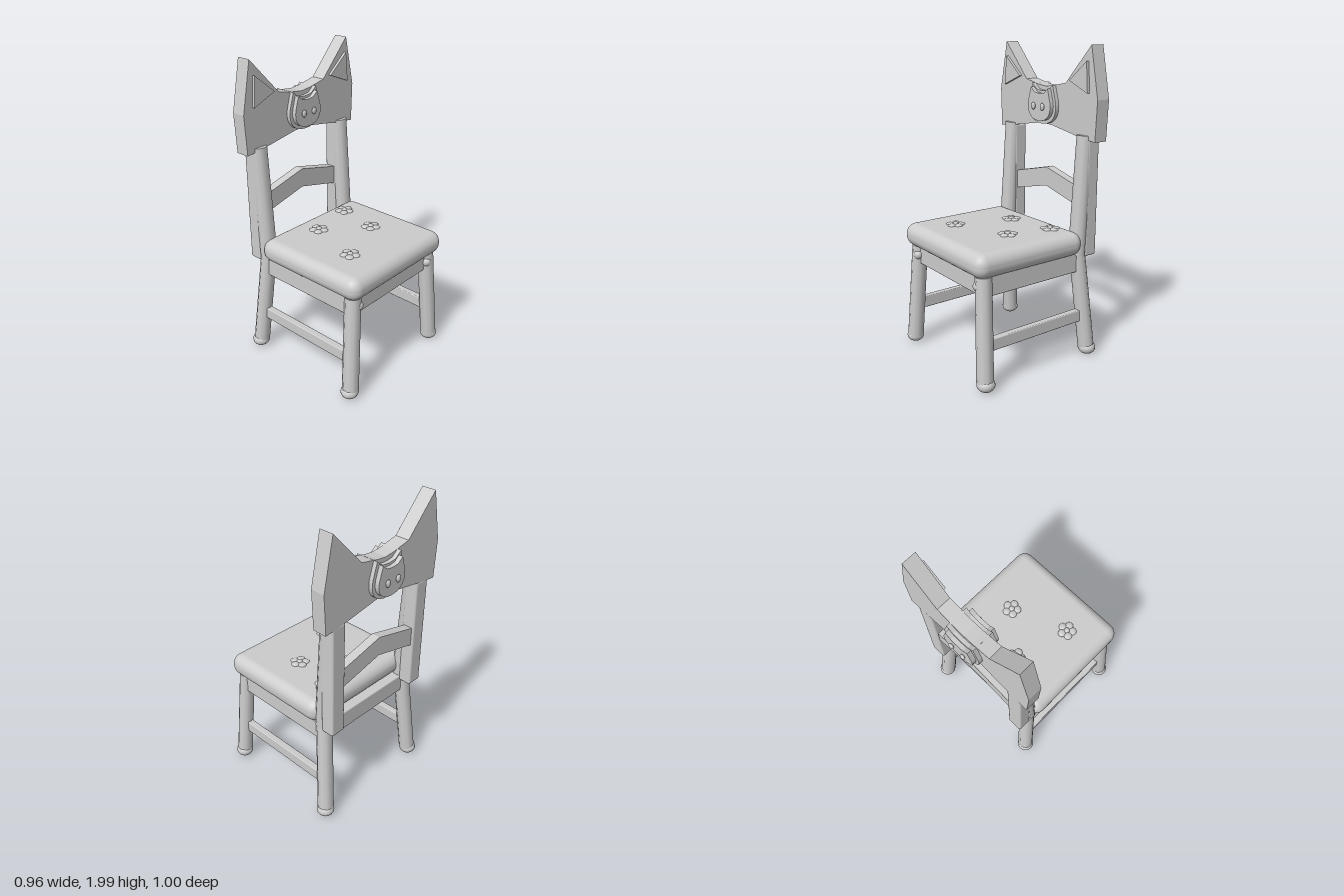
import * as THREE from 'three';
import { RoundedBoxGeometry } from 'three/addons/geometries/RoundedBoxGeometry.js';

const grey = new THREE.MeshStandardMaterial({ color: 0xcccccc });
grey.name = 'light grey';

export function createModel() {
  const model = new THREE.Group();
  model.name = 'chair';

  const add = (name, geometry, x = 0, y = 0, z = 0, parent = model) => {
    const mesh = new THREE.Mesh(geometry, grey);
    mesh.name = name;
    mesh.position.set(x, y, z);
    parent.add(mesh);
    return mesh;
  };
  // Round bar between two points
  const bar = (name, a, b, rBottom, rTop) => {
    const from = new THREE.Vector3(...a), to = new THREE.Vector3(...b);
    const dir = to.clone().sub(from);
    const mesh = add(name, new THREE.CylinderGeometry(rTop, rBottom, dir.length(), 10));
    mesh.position.copy(from).addScaledVector(dir, 0.5);
    mesh.quaternion.setFromUnitVectors(new THREE.Vector3(0, 1, 0), dir.normalize());
  };
  // Flat plate cut from a shape, between two depths
  const plate = (name, shape, zBack, zFront) => add(name, new THREE.ExtrudeGeometry(shape,
    { depth: zFront - zBack, bevelEnabled: false, curveSegments: 10 }), 0, 0, zBack);
  const polygon = (points) => new THREE.Shape(points.map(([x, y]) => new THREE.Vector2(x, y)));
  const mirrored = (half) => polygon([...half, ...half.filter(([x]) => x > 0).reverse().map(([x, y]) => [-x, y])]);
  const ball = (name, r, sx, sy, sz, x, y, z, parent) =>
    add(name, new THREE.SphereGeometry(r, 16, 12), x, y, z, parent).scale.set(sx, sy, sz);

  // Seat cushion and frame
  add('cushion', new RoundedBoxGeometry(0.884, 0.152, 0.805, 5, 0.07), 0, 0.782, 0.0975);
  add('seatFrame', new RoundedBoxGeometry(0.8, 0.125, 0.78, 2, 0.008), 0, 0.6525, 0.05);

  for (const s of [1, -1]) {
    // Splayed legs with ball feet
    bar('frontLeg', [s * 0.415, 0.05, 0.447], [s * 0.365, 0.71, 0.418], 0.053, 0.051);
    bar('backLeg', [s * 0.415, 0.05, -0.367], [s * 0.365, 0.72, -0.308], 0.053, 0.051);
    ball('frontFoot', 0.057, 1, 0.78, 1, s * 0.42, 0.05, 0.445);
    ball('backFoot', 0.057, 1, 0.78, 1, s * 0.42, 0.05, -0.37);
    add('sideStretcher', new RoundedBoxGeometry(0.045, 0.077, 0.7, 2, 0.006), s * 0.395, 0.288, 0.04);
    ball('frameKnob', 0.032, 1, 1, 1, s * 0.345, 0.65, 0.443);
    // Back posts: round in front, square behind
    bar('roundPost', [s * 0.365, 0.7, -0.306], [s * 0.363, 1.457, -0.35], 0.056, 0.052);
    add('squarePost', new RoundedBoxGeometry(0.105, 0.76, 0.092, 2, 0.014), s * 0.363, 1.065, -0.379);
    // Inner ear
    const ear = [[0.395, 1.905], [0.41, 1.715], [0.245, 1.782]];
    plate('innerEar', polygon(ear.map(([x, y]) => [s * x, y])), -0.34, -0.313);
  }

  // Bent back slat
  plate('backSlat', mirrored([[0, 1.197], [0.315, 1.12], [0.315, 0.995], [0, 1.07]]), -0.41, -0.35);

  // Eared headboard
  plate('headboard', mirrored([[0, 1.73], [0.07, 1.738], [0.195, 1.764], [0.415, 2], [0.48, 1.68],
    [0.468, 1.425], [0.31, 1.445], [0.07, 1.486], [0, 1.49]]), -0.426, -0.332);

  // Cat face badge, stepped on both sides of the headboard
  const face = (k) => {
    const cy = 1.61;
    const p = (x, y) => [x * k, cy + y * k];
    const shape = new THREE.Shape();
    shape.moveTo(...p(-0.1, 0.135));
    shape.lineTo(...p(-0.058, 0.1));
    shape.quadraticCurveTo(...p(0, 0.085), ...p(0.058, 0.1));
    shape.lineTo(...p(0.1, 0.135));
    shape.lineTo(...p(0.122, 0.06));
    shape.bezierCurveTo(...p(0.155, -0.03), ...p(0.125, -0.12), ...p(0, -0.12));
    shape.bezierCurveTo(...p(-0.125, -0.12), ...p(-0.155, -0.03), ...p(-0.122, 0.06));
    shape.closePath();
    return shape;
  };
  plate('faceRim', face(1), -0.452, -0.306);
  plate('face', face(0.83), -0.48, -0.279);
  for (const x of [-0.044, 0.044])
    for (const z of [-0.27, -0.489]) ball('eye', 0.024, 0.75, 1, 0.45, x, 1.604, z);

  // Raised flowers on the cushion
  for (const [x, z] of [[-0.083, -0.123], [0.24, -0.187], [0.176, 0.102], [-0.195, 0.247]]) {
    const flower = new THREE.Group();
    flower.name = 'flower';
    flower.position.set(x, 0.858, z);
    for (let i = 0; i < 5; i++) {
      const a = i * Math.PI * 0.4;
      ball('petal', 0.027, 1, 0.42, 1, Math.cos(a) * 0.037, 0, Math.sin(a) * 0.037, flower);
    }
    ball('flowerCentre', 0.019, 1, 0.6, 1, 0, 0.006, 0, flower);
    model.add(flower);
  }
  return model;
}
